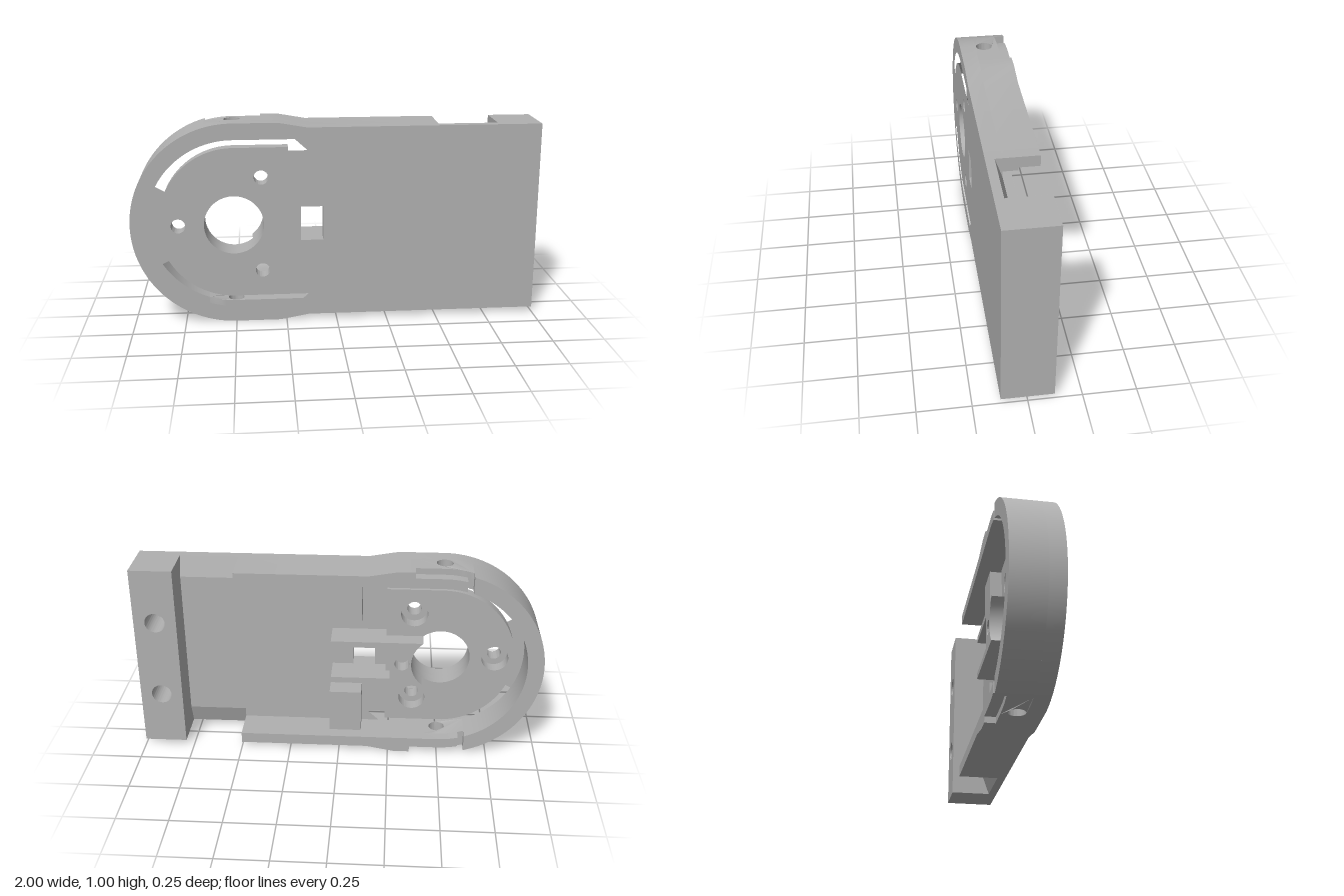
import * as THREE from 'three';
import { toCreasedNormals } from 'three/addons/utils/BufferGeometryUtils.js';

const BACK = -0.1225, FRONT = 0.1225, FLOOR = 0.045, DECK = -0.02;
const CX = -0.5, R = 0.5, RI = 0.42, RD = 0.365; // rounded end: centre, rim radii, disc radius

export function createModel() {
  const model = new THREE.Group();
  model.name = 'bracketHousing';
  const body = new THREE.Group();
  body.name = 'housingBody';
  body.position.y = 0.505; // parts are laid out symmetrically about the long axis
  model.add(body);
  const grey = new THREE.MeshStandardMaterial({ color: 0xb0b0b0 });
  grey.name = 'grey';

  const add = (name, geo) => {
    const m = new THREE.Mesh(toCreasedNormals(geo, 0.5), grey);
    m.name = name;
    body.add(m);
    return m;
  };
  const shapeOf = (pts) => new THREE.Shape(pts.map(([x, y]) => new THREE.Vector2(x, y)));
  const circle = (x, y, r) => new THREE.Path().absarc(x, y, r, 0, Math.PI * 2, false);
  const arc = (r, a0, a1, n = 32) => Array.from({ length: n + 1 }, (_, i) => {
    const a = a0 + (a1 - a0) * i / n;
    return [CX + r * Math.cos(a), r * Math.sin(a)];
  });
  const slab = (name, pts, z0, z1, holes = []) => {
    const s = shapeOf(pts);
    s.holes.push(...holes);
    const g = new THREE.ExtrudeGeometry(s, { depth: z1 - z0, bevelEnabled: false, curveSegments: 40 });
    return add(name, g.translate(0, 0, z0));
  };
  const box = (name, x0, x1, y0, y1, z0, z1) => add(name,
    new THREE.BoxGeometry(x1 - x0, y1 - y0, z1 - z0)
      .translate((x0 + x1) / 2, (y0 + y1) / 2, (z0 + z1) / 2));
  const flip = (pts) => pts.map(([x, y]) => [x, -y]).reverse();
  const H = Math.PI / 2, screws = [[-0.77, 0], [-0.365, 0.235], [-0.365, -0.235]];

  // Front plate with bore, screw holes, window and the two curved slots
  const edge = [[-0.28, 0.5], [-0.14, 0.475], [0.5, 0.475], [0.5, 0.375], [0.79, 0.375], [0.79, 0.475], [1, 0.475]];
  const slotEnd = Math.PI * 0.842;
  const slot = [...arc(RI, slotEnd, H), [-0.2, RI], [-0.14, RD], ...arc(RD, H, slotEnd)];
  const path = (pts) => new THREE.Path(pts.map(([x, y]) => new THREE.Vector2(x, y)));
  slab('frontPlate', [...arc(R, H * 3, H, 64), ...edge, ...flip(edge)], FLOOR, FRONT, [
    circle(CX, 0, 0.145), ...screws.map(([x, y]) => circle(x, y, 0.035)),
    path([[-0.175, -0.085], [-0.065, -0.085], [-0.065, 0.085], [-0.175, 0.085]]),
    path(slot), path(flip(slot)),
  ]);

  // Raised disc carrying the counterbored screw holes
  const dy = [[-0.23, -RD], [-0.23, RD]];
  slab('raisedDisc', [...arc(RD, H, H * 3, 48), ...dy], DECK, FLOOR,
    [circle(CX, 0, 0.145), ...screws.map(([x, y]) => circle(x, y, 0.066))]);

  // Rounded end of the rim, ending at the slits
  const aO = Math.acos((-0.635 - CX) / R), aI = Math.acos((-0.635 - CX) / RI);
  slab('roundRim', [...arc(R, aO, Math.PI * 2 - aO, 48), ...arc(RI, Math.PI * 2 - aI, aI, 48)], BACK, FLOOR);

  // Height of the rim faces along x
  const rimY = (r, x) => (x < CX ? Math.sqrt(r * r - (x - CX) ** 2) : r);

  for (const s of [1, -1]) {
    const side = s > 0 ? 'upper' : 'lower';
    const mir = (pts) => pts.map(([x, y]) => [x, y * s]);

    // Rim section with a cross hole, bent to the curve of the rim
    const n = 10, pts = [];
    for (let i = 0; i <= n; i++) pts.push([-0.635 + 0.275 * i / n, -0.07 * s]);
    for (let i = n; i >= 0; i--) pts.push([-0.635 + 0.275 * i / n, FLOOR * s]);
    const sh = shapeOf(pts);
    sh.holes.push(circle(CX, 0, 0.04));
    const g = new THREE.ExtrudeGeometry(sh, { depth: 1, bevelEnabled: false, curveSegments: 24 });
    g.rotateX(s * H);
    const p = g.attributes.position;
    for (let i = 0; i < p.count; i++) {
      const x = p.getX(i), t = Math.abs(p.getY(i));
      p.setY(i, s * (rimY(R, x) * (1 - t) + rimY(RI, x) * t));
    }
    g.computeVertexNormals();
    add(side + 'DrilledRim', g);

    // Thinner tab beside the slit
    const xs = [-0.605, -0.57, -0.535, -0.5, -0.36];
    slab(side + 'Tab', mir([
      ...xs.map((x) => [x, rimY(0.47, x)]),
      ...xs.slice().reverse().map((x) => [x, rimY(RI, x)]),
    ]), BACK, -0.07);

    // Long side wall
    slab(side + 'SideWall', mir([[-0.36, 0.5], [-0.28, 0.5], [-0.14, 0.475], [0.5, 0.475], [0.5, RI], [-0.36, RI]]), BACK, FLOOR);

    // Sloped floor in the side notch, drawn in (z, y) and run along x
    const ramp = new THREE.ExtrudeGeometry(
      shapeOf(mir([[-FRONT, 0.375], [-FLOOR, 0.375], [-0.08, 0.475], [-FRONT, 0.475]])),
      { depth: 0.29, bevelEnabled: false });
    add(side + 'NotchRamp', ramp.rotateY(H).translate(0.5, 0, 0));

    // Stop post and guide rail
    const [a, b] = s > 0 ? [0.195, RI] : [-RI, -0.195];
    box(side + 'Post', -0.11, 0.05, a, b, -0.06, FLOOR);
    const [c, d] = s > 0 ? [0.085, 0.115] : [-0.115, -0.085];
    box(side + 'GuideRail', -0.25, 0.04, c, d, -0.1, FLOOR);
  }

  // Centre block, scooped out around the bore, with a blind hole
  const ang = Math.asin(0.115 / 0.145);
  slab('centreBlock', [...arc(0.145, -ang, ang, 16), [-0.25, 0.115], [-0.25, -0.115]],
    -0.1, DECK, [circle(-0.31, 0, 0.036)]);

  // End block with two blind mounting holes
  slab('endBlock', [[0.79, -0.475], [1, -0.475], [1, 0.475], [0.79, 0.475]], BACK, FLOOR,
    [circle(0.895, 0.2, 0.05), circle(0.895, -0.2, 0.05)]);

  return model;
}
